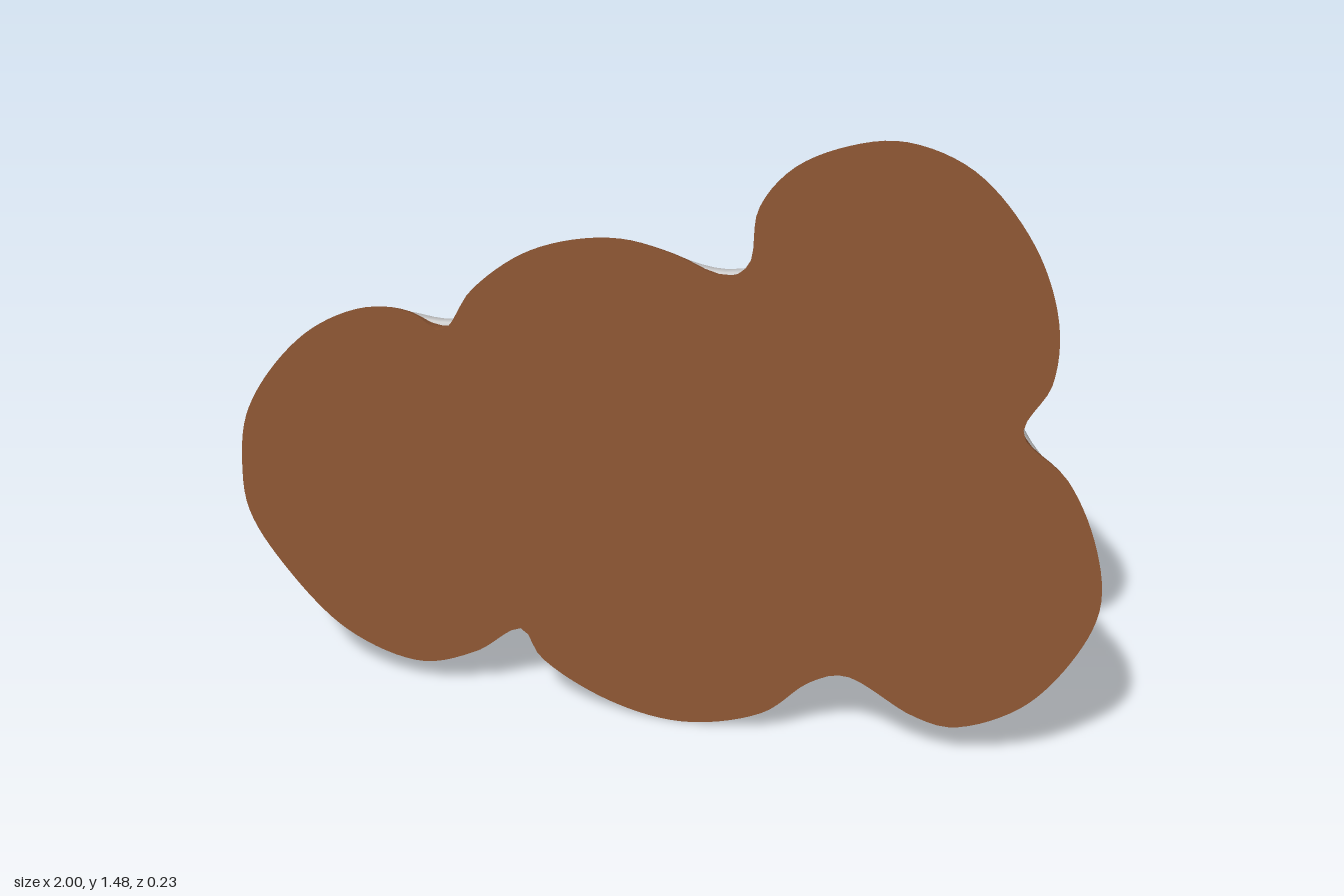
import * as THREE from 'three';

const brown = new THREE.MeshStandardMaterial({ color: 0x8f5734 });
const grey = new THREE.MeshStandardMaterial({ color: 0xcccccc });
const black = new THREE.MeshStandardMaterial({ color: 0x0a0a0a });

// Lobed outline, clockwise from the left lobe
const OUTLINE = [
  [-1, 0.52], [-0.98, 0.66], [-0.9, 0.8], [-0.79, 0.91], [-0.66, 0.97], [-0.56, 0.965],
  [-0.495, 0.93], [-0.42, 1.04], [-0.28, 1.15], [-0.1, 1.198], [0.04, 1.175], [0.155, 1.135],
  [0.205, 1.17], [0.225, 1.3], [0.3, 1.4], [0.43, 1.465], [0.54, 1.48], [0.68, 1.43],
  [0.81, 1.28], [0.87, 1.11], [0.865, 0.97], [0.81, 0.845], [0.91, 0.75], [0.98, 0.6],
  [1, 0.45], [0.95, 0.31], [0.84, 0.165], [0.69, 0.09], [0.6, 0.105], [0.44, 0.185],
  [0.36, 0.155], [0.25, 0.055], [0.06, 0], [-0.12, 0.03], [-0.28, 0.12], [-0.325, 0.19],
  [-0.44, 0.11], [-0.58, 0.062], [-0.76, 0.12], [-0.92, 0.285], [-0.99, 0.41],
];
const N = 240;

function outlinePoints() {
  const pts = OUTLINE.map(([x, y]) => new THREE.Vector3(x, y, 0)).reverse();
  const curve = new THREE.CatmullRomCurve3(pts, true);
  return curve.getSpacedPoints(N).slice(0, N).map(p => new THREE.Vector2(p.x, p.y));
}

// Shrinks a closed counter-clockwise loop in small, smoothed steps
function inset(loop, amount) {
  const steps = Math.ceil(Math.abs(amount) / 0.01);
  const near = (a, i, k) => a[(i + k + N) % N];
  for (let s = 0; s < steps; s++) {
    const moved = loop.map((p, i) => {
      const t = near(loop, i, 1).clone().sub(near(loop, i, -1)).normalize();
      return new THREE.Vector2(p.x - t.y * amount / steps, p.y + t.x * amount / steps);
    });
    loop = moved.map((p, i) => p.clone().multiplyScalar(0.5)
      .addScaledVector(near(moved, i, 1), 0.25).addScaledVector(near(moved, i, -1), 0.25));
  }
  return loop;
}

// Lofts the outline through [inset, z] steps and closes the back end
function loft(profile, shiftZ = () => 0) {
  let loop = outlinePoints(), depth = 0;
  const pos = [], idx = [];
  profile.forEach(([d, z], k) => {
    if (d !== depth) loop = inset(loop, d - depth);
    depth = d;
    loop.forEach((p, i) => {
      pos.push(p.x, p.y, z + shiftZ(p, i, k));
      if (k === 0) return;
      const j = (i + 1) % N, a = (k - 1) * N, b = k * N;
      idx.push(a + i, b + i, a + j, a + j, b + i, b + j);
    });
  });
  const base = (profile.length - 1) * N;
  for (const [a, b, c] of THREE.ShapeUtils.triangulateShape(loop, [])) {
    idx.push(base + a, base + c, base + b);
  }
  const geo = new THREE.BufferGeometry();
  geo.setAttribute('position', new THREE.Float32BufferAttribute(pos, 3));
  geo.setIndex(idx);
  geo.computeVertexNormals();
  return geo;
}

export function createModel() {
  const group = new THREE.Group();
  const add = (name, geo, mat) => {
    const mesh = new THREE.Mesh(geo, mat);
    mesh.name = name;
    group.add(mesh);
    return mesh;
  };

  // Biscuit: sloping rim and flat face
  add('biscuitRim', loft([[0, 0.115], [0.01, 0.09], [0.025, 0.065], [0.042, 0.045],
    [0.065, 0.025], [0.1, 0.01]]), brown);
  add('biscuitFace', new THREE.ShapeGeometry(new THREE.Shape(outlinePoints())), brown)
    .position.z = 0.115;

  // Icing: wavy lower edge, pillowed sides, slight dip towards the middle
  const icing = loft([[0.065, 0.036], [0.05, 0.03], [0.052, 0.008], [0.06, -0.015],
    [0.075, -0.038], [0.095, -0.058], [0.12, -0.075], [0.15, -0.088], [0.18, -0.096], [0.2, -0.099]],
  (p, i, k) => {
    const a = i / N * Math.PI * 2;
    const wave = k < 2 ? 0.004 * Math.sin(a * 9) + 0.003 * Math.sin(a * 23) : 0;
    return wave + (k / 9) * 0.01 * Math.exp(-6 * p.x * p.x);
  });
  add('icing', icing, grey);

  // Face on the iced side
  for (const [name, x] of [['leftEye', 0.61], ['rightEye', 0.44]]) {
    const eye = add(name, new THREE.SphereGeometry(1, 16, 12), black);
    eye.scale.set(0.021, 0.03, 0.018);
    eye.position.set(x, 1.19, -0.1);
  }
  const mouth = add('mouth', new THREE.TorusGeometry(0.052, 0.009, 8, 20, Math.PI), black);
  mouth.rotation.z = Math.PI;
  mouth.position.set(0.525, 1.085, -0.1);

  return group;
}
